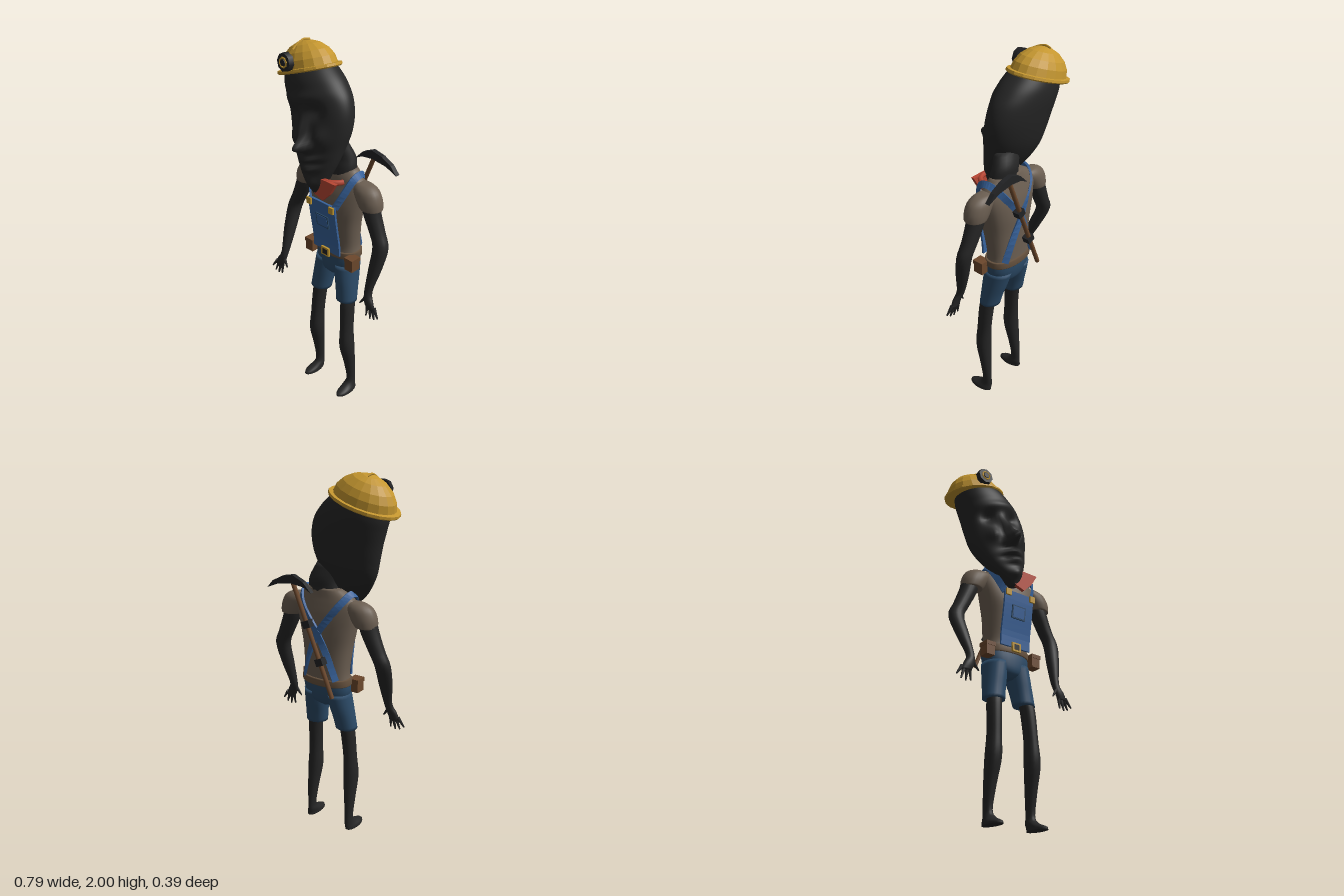
import * as THREE from 'three';

const mat = (name, color) => Object.assign(new THREE.MeshStandardMaterial({ color }), { name });

export function createModel() {
  const model = new THREE.Group();
  model.name = 'miner';
  const M = {
    skin: mat('charcoal skin', 0x262626), metal: mat('dark metal', 0x222325),
    yellow: mat('helmet yellow', 0xc4962f), shirt: mat('taupe shirt', 0x6c5f52),
    denim: mat('shorts denim', 0x2c4b68), blue: mat('bib blue', 0x38639c),
    red: mat('scarf red', 0xb94734), belt: mat('belt leather', 0x68533f),
    wood: mat('brown wood and leather', 0x6c482c), brass: mat('brass', 0xc09530),
  };
  const add = (name, geo, material, parent = model) => {
    const m = new THREE.Mesh(geo, material);
    m.name = name;
    parent.add(m);
    return m;
  };
  const flat = (g) => {
    const f = g.toNonIndexed();
    f.computeVertexNormals();
    return f;
  };
  const v = (a) => new THREE.Vector3(...a);

  // Closed skin over oval rings [x, y, z, rx, rz], listed from bottom to top
  function loft(rings, { seg = 20, sub = 4, power = 1, bump } = {}) {
    const curve = new THREE.CubicInterpolant(
      new Float32Array(rings.map((_, i) => i)), new Float32Array(rings.flat()), 5);
    const pos = [], idx = [], n = (rings.length - 1) * sub;
    const at = (i) => Array.from(curve.evaluate(i / sub));
    const shape = (c) => Math.sign(c) * Math.abs(c) ** power;
    for (let i = 0; i <= n; i++) {
      const [x, y, z, rx, rz] = at(i);
      for (let j = 0; j < seg; j++) {
        const a = j / seg * Math.PI * 2, s = Math.sin(a);
        const px = x + rx * shape(Math.cos(a));
        pos.push(px, y, z + rz * shape(s) + (bump && s > 0 ? bump(px, y) * Math.min(1, s * 1.8) : 0));
        if (i < n) {
          const p = i * seg + j, q = i * seg + (j + 1) % seg;
          idx.push(p, p + seg, q, q, p + seg, q + seg);
        }
      }
    }
    const c = pos.length / 3;
    pos.push(...at(0).slice(0, 3), ...at(n).slice(0, 3));
    for (let j = 0; j < seg; j++) {
      const k = (j + 1) % seg;
      idx.push(c, j, k, c + 1, n * seg + k, n * seg + j);
    }
    const g = new THREE.BufferGeometry();
    g.setAttribute('position', new THREE.Float32BufferAttribute(pos, 3));
    g.setIndex(idx);
    g.computeVertexNormals();
    return g;
  }

  // Flat strip of cloth along a path, facing away from the body axis
  function band(points, width, thick, steps = 24) {
    const path = new THREE.CatmullRomCurve3(points.map(v)), pos = [], idx = [];
    for (let i = 0; i <= steps; i++) {
      const p = path.getPoint(i / steps), t = path.getTangent(i / steps);
      const out = p.clone().sub(v([0.012, Math.min(p.y, 1.3), -0.055])).normalize();
      const side = t.clone().cross(out).normalize();
      const n = side.clone().cross(t).normalize();
      for (const [a, b] of [[-1, 0], [1, 0], [1, 1], [-1, 1]])
        pos.push(...p.clone().addScaledVector(side, a * width / 2).addScaledVector(n, b * thick));
      if (i < steps) for (let j = 0; j < 4; j++) {
        const a = i * 4 + j, b = i * 4 + (j + 1) % 4;
        idx.push(a, a + 4, b, b, a + 4, b + 4);
      }
    }
    const e = steps * 4;
    idx.push(0, 1, 2, 0, 2, 3, e, e + 2, e + 1, e, e + 3, e + 2);
    const g = new THREE.BufferGeometry();
    g.setAttribute('position', new THREE.Float32BufferAttribute(pos, 3));
    g.setIndex(idx);
    return flat(g);
  }

  function rod(name, a, b, r1, r2, material, sides = 8) {
    const p = v(a), q = v(b), d = q.clone().sub(p);
    const m = add(name, new THREE.CylinderGeometry(r2, r1, d.length(), sides), material);
    m.position.copy(p).add(q).multiplyScalar(0.5);
    m.quaternion.setFromUnitVectors(new THREE.Vector3(0, 1, 0), d.normalize());
  }
  function box(name, [w, h, d], at, material, parent = model) {
    const m = add(name, new THREE.BoxGeometry(w, h, d), material, parent);
    m.position.set(...at);
    return m;
  }
  function slab(name, pts, depth, z, material) {
    const s = new THREE.Shape(pts.map((p) => new THREE.Vector2(...p)));
    const m = add(name, new THREE.ExtrudeGeometry(s, { depth, bevelEnabled: false }), material);
    m.position.z = z;
  }

  // Tilted head: [height, centre x, half width, front z, back z]
  const head = new THREE.Group();
  head.name = 'head';
  head.position.set(-0.02, 1.29, 0);
  head.rotation.z = 0.3;
  model.add(head);
  const skull = [
    [-0.012, 0, 0.03, 0.085, 0.035], [0.06, 0.004, 0.08, 0.105, -0.005], [0.13, 0.01, 0.128, 0.1, -0.05],
    [0.2, 0.018, 0.162, 0.095, -0.095], [0.27, 0.03, 0.188, 0.09, -0.128], [0.35, 0.043, 0.199, 0.085, -0.15],
    [0.43, 0.045, 0.196, 0.082, -0.165], [0.5, 0.033, 0.182, 0.082, -0.175], [0.56, 0.016, 0.163, 0.075, -0.175],
    [0.62, 0, 0.13, 0.05, -0.16], [0.66, 0, 0.07, 0, -0.12],
  ].map(([y, x, w, f, b]) => [x, y, (f + b) / 2, w, (f - b) / 2]);
  // Face relief: [x, y, spread x, spread y, height]
  const relief = [
    [0.03, 0.255, 0.034, 0.035, 0.078], [0.03, 0.32, 0.024, 0.065, 0.045], [0.03, 0.235, 0.06, 0.02, 0.018],
    [-0.05, 0.4, 0.04, 0.035, -0.028], [0.11, 0.4, 0.04, 0.035, -0.028], [0.03, 0.475, 0.12, 0.03, 0.016],
    [-0.06, 0.29, 0.04, 0.045, 0.026], [0.12, 0.28, 0.04, 0.045, 0.024], [0.02, 0.175, 0.06, 0.016, 0.028],
    [0.02, 0.15, 0.055, 0.009, -0.02], [0.02, 0.125, 0.05, 0.015, 0.022], [0.01, 0.05, 0.04, 0.028, 0.015],
  ];
  const bump = (x, y) => relief.reduce((t, [a, b, sx, sy, h]) =>
    t + h * Math.exp(-(((x - a) / sx) ** 2) - ((y - b) / sy) ** 2), 0);
  add('face and skull', loft(skull, { seg: 64, sub: 7, bump }), M.skin, head);

  // Faceted hard hat with lamp
  const hat = new THREE.Group();
  hat.name = 'helmet';
  hat.position.set(-0.01, 0.6, -0.063);
  hat.rotation.x = -0.05;
  head.add(hat);
  const hatRing = ([y, r, q]) => [0, y, 0, r, q];
  add('helmet shell', flat(loft([
    [-0.012, 0.187, 0.132], [-0.006, 0.193, 0.138], [0.006, 0.191, 0.136], [0.008, 0.168, 0.122],
    [0.045, 0.158, 0.115], [0.08, 0.132, 0.097], [0.112, 0.088, 0.066], [0.129, 0.04, 0.032], [0.133, 0.01, 0.008],
  ].map(hatRing), { seg: 18, sub: 1 })), M.yellow, hat);
  const ridge = [[0, 0.132, -0.035], [0, 0.138, 0], [0, 0.125, 0.04], [0, 0.098, 0.085]];
  add('helmet ridge', new THREE.TubeGeometry(new THREE.CatmullRomCurve3(ridge.map(v)), 12, 0.006, 5), M.yellow, hat);
  const facing = (name, r, depth, z, material) => {
    const m = add(name, new THREE.CylinderGeometry(r, r * 1.08, depth, 8).rotateY(Math.PI / 8), material, hat);
    m.rotation.x = Math.PI / 2;
    m.position.set(-0.008, 0.048, z);
  };
  facing('lamp housing', 0.046, 0.028, 0.138, M.metal);
  add('lamp rim', new THREE.TorusGeometry(0.024, 0.005, 5, 8), M.brass, hat).position.set(-0.008, 0.048, 0.153);
  facing('lamp lens', 0.017, 0.008, 0.154, M.metal);

  // Neck and torso
  const C = 0.012;
  add('neck', loft([[0.03, 1.34, -0.05, 0.1, 0.06], [0.035, 1.42, -0.055, 0.088, 0.058],
    [0.03, 1.47, -0.06, 0.08, 0.055], [0, 1.54, -0.04, 0.08, 0.05]]), M.skin);
  add('shirt', loft([[C, 0.92, -0.06, 0.136, 0.081], [C, 0.98, -0.06, 0.13, 0.08], [C, 1.1, -0.05, 0.141, 0.09],
    [C, 1.2, -0.046, 0.16, 0.099], [C, 1.28, -0.05, 0.176, 0.09], [C, 1.34, -0.055, 0.18, 0.072],
    [C, 1.38, -0.055, 0.15, 0.062], [C + 0.01, 1.42, -0.06, 0.1, 0.05]], { seg: 28, power: 0.85 }), M.shirt);

  // Shorts and belt
  add('shorts seat', loft([[C, 0.768, -0.045, 0.025, 0.04], [C, 0.8, -0.05, 0.105, 0.072],
    [C, 0.86, -0.056, 0.136, 0.083], [C, 0.925, -0.06, 0.136, 0.082]], { seg: 28, power: 0.9 }), M.denim);
  add('belt', loft([[C, 0.9, -0.06, 0.14, 0.086], [C, 0.905, -0.06, 0.144, 0.09], [C, 0.935, -0.06, 0.144, 0.09],
    [C, 0.94, -0.06, 0.14, 0.086]], { seg: 28, sub: 1, power: 0.9 }), M.belt);
  box('belt buckle', [0.056, 0.05, 0.012], [C, 0.928, 0.044], M.brass);
  box('buckle centre', [0.034, 0.03, 0.006], [C, 0.928, 0.049], M.metal);

  // Limbs and other paired parts
  for (const s of [1, -1]) {
    const side = s > 0 ? 'left' : 'right';
    const mirror = (c, rings) => rings.map(([x, y, z, a, b]) => [c + s * x, y, z, a, b]);
    add(side + ' shorts leg', loft(mirror(0.012, [[0.098, 0.635, -0.02, 0.061, 0.056], [0.09, 0.7, -0.03, 0.062, 0.062],
      [0.08, 0.77, -0.042, 0.064, 0.072], [0.068, 0.85, -0.055, 0.067, 0.08]])), M.denim);
    add(side + ' leg', loft(mirror(0.02, [[0.135, 0, 0.02, 0.034, 0.074], [0.134, 0.015, 0.016, 0.033, 0.07],
      [0.129, 0.04, -0.014, 0.027, 0.041], [0.13, 0.08, -0.026, 0.022, 0.028], [0.127, 0.2, -0.014, 0.032, 0.034],
      [0.122, 0.33, 0.004, 0.042, 0.045], [0.117, 0.45, 0.002, 0.036, 0.042], [0.109, 0.6, -0.01, 0.039, 0.043],
      [0.1, 0.67, -0.022, 0.038, 0.042]])), M.skin);
    add(side + ' sleeve', loft(mirror(C, [[0.235, 1.243, -0.05, 0.056, 0.052], [0.231, 1.25, -0.05, 0.063, 0.058],
      [0.216, 1.29, -0.05, 0.075, 0.062], [0.192, 1.335, -0.052, 0.079, 0.056],
      [0.176, 1.362, -0.054, 0.055, 0.035], [0.17, 1.368, -0.054, 0.015, 0.01]])), M.shirt);

    // The right hand reaches further forward
    const f = s > 0 ? 0 : 0.05, hand = 0.03 + f, A = 0.004;
    add(side + ' arm', loft(mirror(A, [[0.33, 0.705, hand + 0.002, 0.03, 0.012], [0.314, 0.745, hand, 0.03, 0.017],
      [0.298, 0.8, 0.015 + f, 0.022, 0.022], [0.312, 0.93, -0.015 + f * 0.5, 0.036, 0.034],
      [0.32, 1.05, -0.04, 0.043, 0.038], [0.286, 1.13, -0.048, 0.045, 0.04],
      [0.247, 1.22, -0.05, 0.05, 0.045], [0.225, 1.3, -0.05, 0.05, 0.045]])), M.skin);
    const fingers = [[0.308, 0.72, 0.306, 0.655], [0.324, 0.715, 0.335, 0.648], [0.34, 0.715, 0.362, 0.654],
      [0.352, 0.722, 0.388, 0.672], [0.295, 0.765, 0.26, 0.715]];
    fingers.forEach(([x, y, X, Y], i) => rod(side + ' finger ' + (i + 1),
      [A + s * x, y, hand], [A + s * X, Y, hand + 0.008], 0.011, 0.004, M.skin, 6));

    // Brace over the shoulder, crossing on the back
    const brace = [[0.085, 1.23, 0.06], [0.122, 1.32, 0.028], [0.143, 1.385, -0.014], [0.142, 1.395, -0.06],
      [0.115, 1.355, -0.11], [0.06, 1.28, -0.135], [0, 1.19, -0.143], [-0.05, 1.08, -0.138], [-0.095, 0.94, -0.124]];
    add(side + ' brace', band(brace.map(([x, y, z]) => [C + s * x, y, z]), 0.036, 0.011, 32), M.blue);
    box(side + ' brace buckle', [0.032, 0.036, 0.01], [C + s * 0.08, 1.222, 0.084], M.brass);
    box(side + ' pouch', [0.052, 0.065, 0.058], [C + s * 0.15, 0.892, -0.005], M.wood);
    box(side + ' pouch flap', [0.058, 0.022, 0.064], [C + s * 0.15, 0.922, -0.005], M.wood);
  }

  // Overall bib with pocket
  add('bib', band([[C, 0.93, 0.026], [C, 1, 0.03], [C, 1.1, 0.046], [C, 1.18, 0.058], [C, 1.24, 0.064]],
    0.19, 0.012, 10), M.blue);
  const pocket = box('bib pocket', [0.088, 0.075, 0.009], [C, 1.125, 0.064], M.denim);
  const pocketFace = box('pocket face', [0.074, 0.062, 0.006], [C, 1.125, 0.067], M.blue);
  pocket.rotation.x = pocketFace.rotation.x = 0.13;

  // Scarf
  const roll = add('scarf roll', new THREE.TorusGeometry(0.08, 0.014, 6, 14, Math.PI * 0.8), M.red);
  roll.rotation.set(Math.PI / 2, 0, Math.PI * 0.1);
  roll.position.set(0.038, 1.368, -0.005);
  slab('scarf knot flap', [[-0.055, 1.315], [-0.02, 1.278], [0.035, 1.26], [0.085, 1.31], [0.125, 1.377], [0.01, 1.378]],
    0.02, 0.068, M.red);

  // Pickaxe slung on the back
  rod('pickaxe handle', [-0.1, 0.865, -0.177], [0.148, 1.465, -0.177], 0.012, 0.012, M.wood);
  slab('pickaxe head', [[0.02, 1.41], [0.07, 1.435], [0.14, 1.442], [0.23, 1.43], [0.3, 1.4],
    [0.262, 1.442], [0.2, 1.474], [0.135, 1.488], [0.07, 1.46]], 0.026, -0.19, M.metal);
  for (const [x, y] of [[0.055, 1.24], [-0.024, 1.05]])
    box('pickaxe clip', [0.045, 0.038, 0.04], [x, y, -0.17], M.metal).rotation.z = -0.39;

  return model;
}
